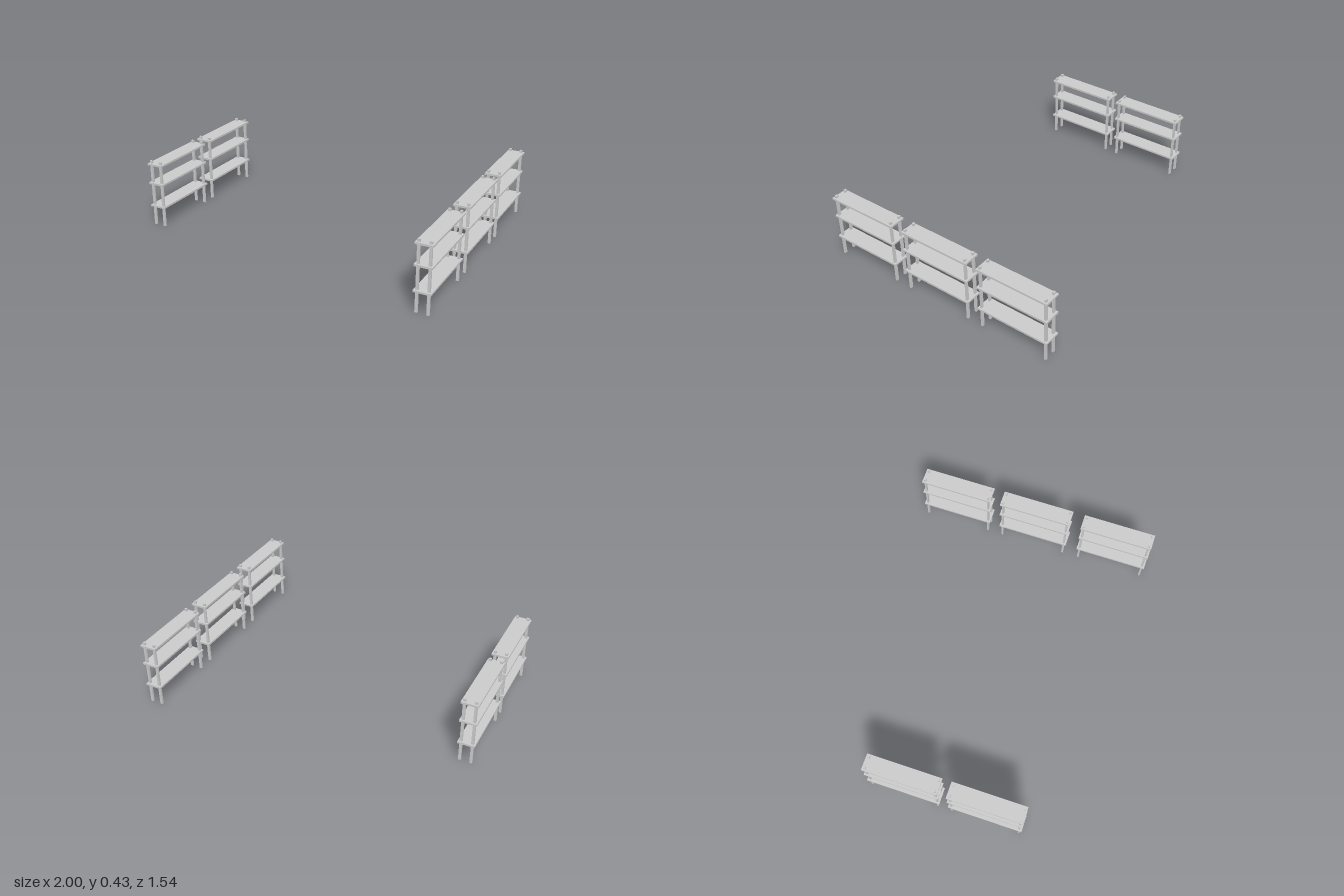
import * as THREE from 'three';

const material = new THREE.MeshStandardMaterial({ color: 0xcccccc });
const WIDTH = 0.104, LENGTH = 0.464, HEIGHT = 0.43;
const shelfGeometry = new THREE.BoxGeometry(WIDTH, 0.012, LENGTH);
const postGeometry = new THREE.BoxGeometry(0.016, HEIGHT, 0.012);

function part(name, geometry, x, y, z) {
  const mesh = new THREE.Mesh(geometry, material);
  mesh.name = name;
  mesh.position.set(x, y, z);
  return mesh;
}

// One free-standing rack: three boards carried by four corner posts
function createRack() {
  const rack = new THREE.Group();
  rack.name = 'shelvingRack';
  for (const y of [0.13, 0.282, 0.408]) rack.add(part('shelf', shelfGeometry, 0, y, 0));
  for (const sx of [-1, 1])
    for (const sz of [-1, 1])
      rack.add(part('post', postGeometry, sx * 0.034, HEIGHT / 2, sz * 0.2145));
  return rack;
}

export function createModel() {
  const model = new THREE.Group();
  model.name = 'shelvingRows';
  // Two facing rows: three racks on the left, two on the right
  const rows = [
    { name: 'leftRow', x: 0.948, zs: [-0.536, -0.004, 0.536] },
    { name: 'rightRow', x: -0.948, zs: [-0.221, 0.298] },
  ];
  for (const { name, x, zs } of rows) {
    const row = new THREE.Group();
    row.name = name;
    for (const z of zs) {
      const rack = createRack();
      rack.position.set(x, 0, z);
      row.add(rack);
    }
    model.add(row);
  }
  return model;
}
